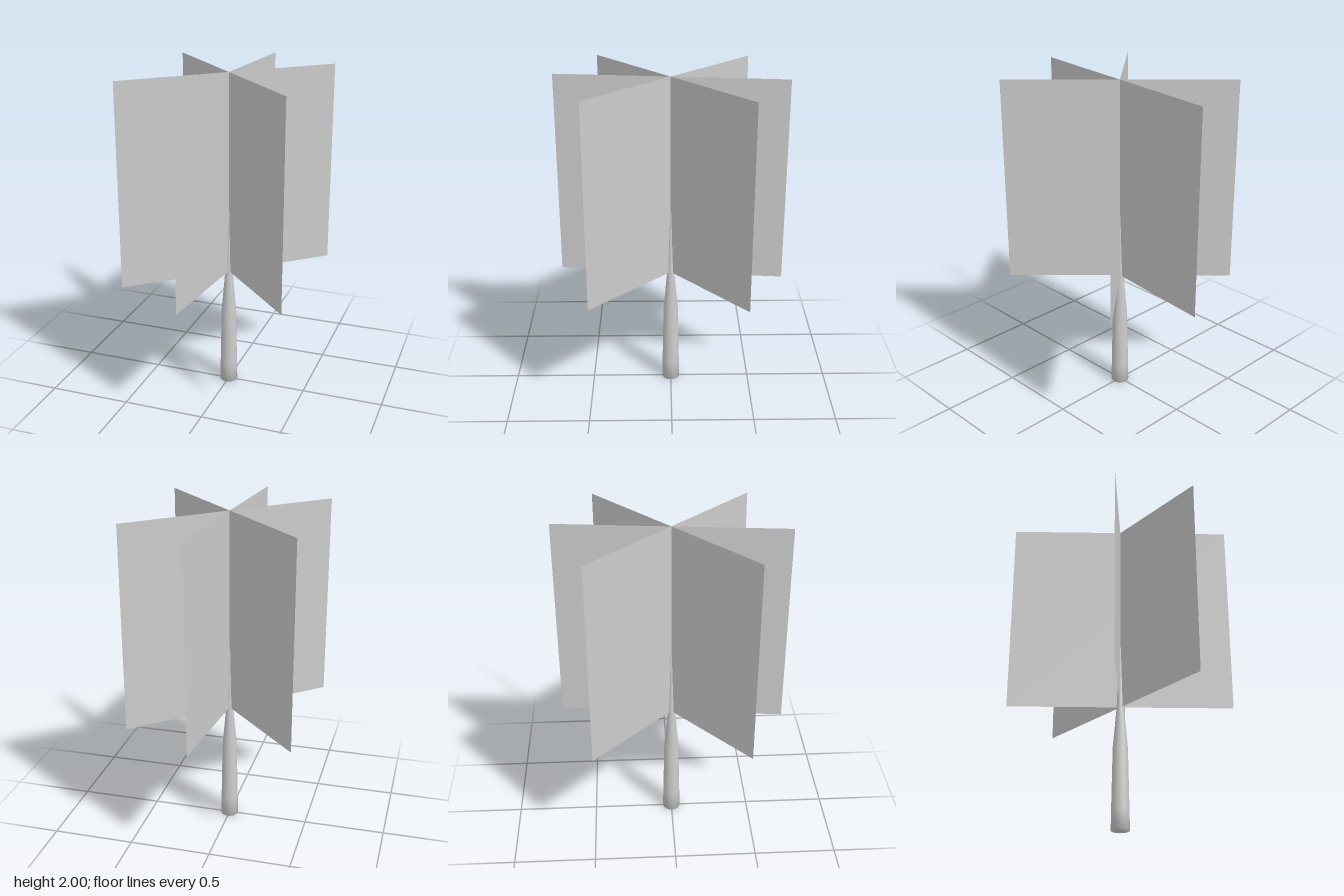
import * as THREE from 'three';

export function createModel() {
  const model = new THREE.Group();
  const grey = new THREE.MeshStandardMaterial({ color: 0xcccccc, side: THREE.DoubleSide });
  grey.name = 'light grey';

  // Tapering trunk, closed at both ends, smooth shaded
  const profile = [
    [0, 0], [0.055, 0], [0.053, 0.12], [0.045, 0.5], [0.022, 0.76], [0.005, 1.16], [0, 1.16],
  ].map(([r, y]) => new THREE.Vector2(r, y));
  const trunk = new THREE.Mesh(new THREE.LatheGeometry(profile, 16), grey);
  trunk.name = 'trunk';
  model.add(trunk);

  // Three upright foliage cards crossing on the trunk axis
  const bottom = 0.757, top = 2, radius = 0.684;
  const card = new THREE.PlaneGeometry(radius * 2, top - bottom);
  const foliage = new THREE.Group();
  foliage.name = 'foliage';
  [45, 96, 139].forEach((degrees, i) => {
    const mesh = new THREE.Mesh(card, grey);
    mesh.name = `foliageCard${i + 1}`;
    mesh.position.y = (top + bottom) / 2;
    mesh.rotation.y = -THREE.MathUtils.degToRad(degrees);
    foliage.add(mesh);
  });
  model.add(foliage);

  return model;
}
